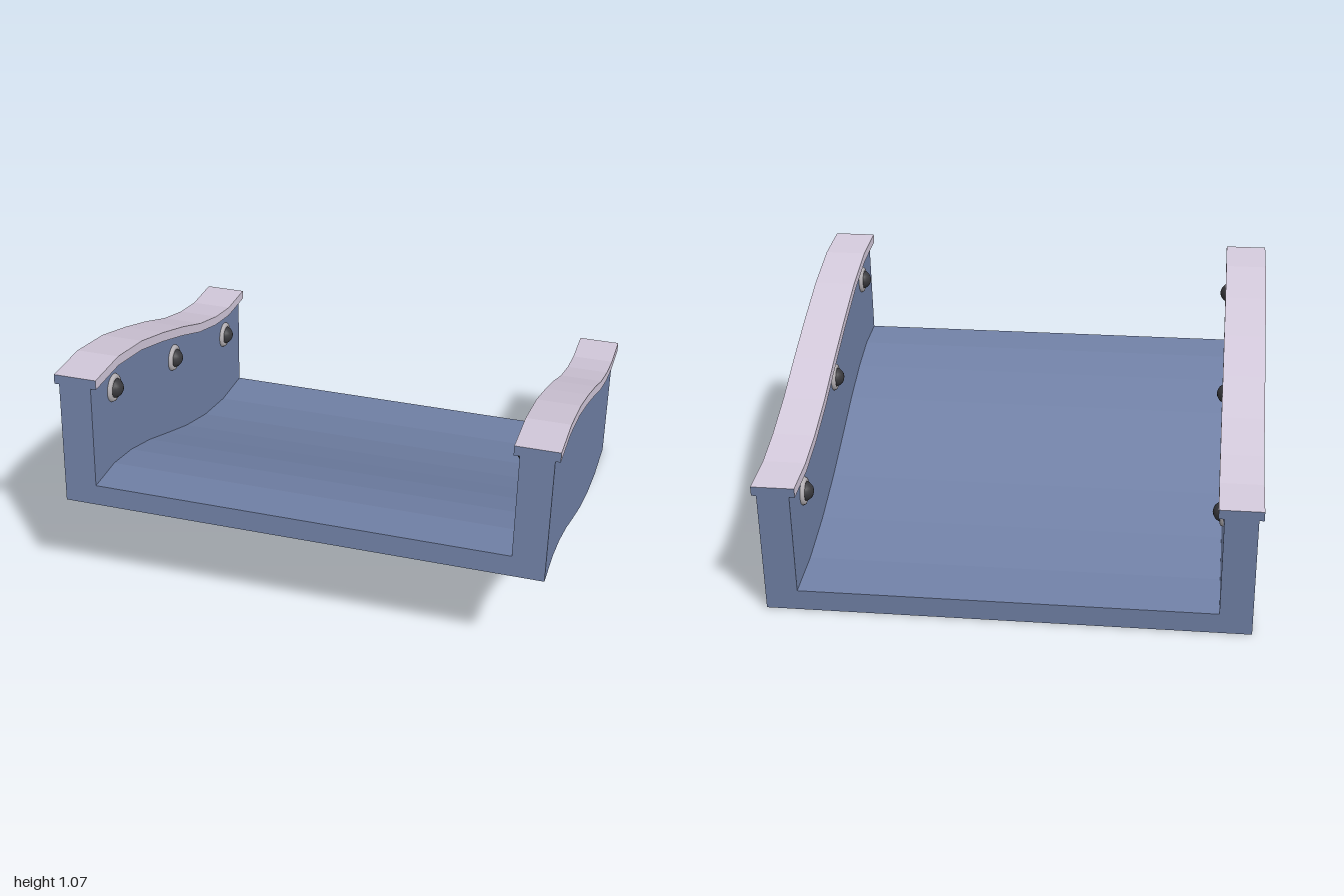
import * as THREE from 'three';

const material = (name, color) => {
  const m = new THREE.MeshStandardMaterial({ color });
  m.name = name;
  return m;
};

// Stations from front to back: [bottom z, bottom y, top z, top y]
const STATIONS = [
  [0.875, 0.513, 0.825, 1.075],
  [0.695, 0.5, 0.6, 1.055],
  [0.53, 0.455, 0.36, 0.99],
  [0.34, 0.38, 0.13, 0.9],
  [0.14, 0.285, -0.09, 0.805],
  [-0.08, 0.185, -0.3, 0.705],
  [-0.32, 0.095, -0.5, 0.63],
  [-0.58, 0.028, -0.67, 0.585],
  [-0.825, 0.002, -0.872, 0.567],
];
const STEPS = STATIONS.length - 1;

// Sweeps a cross-section of [x, height fraction] points along the stations
function sweep(points) {
  const shape = new THREE.Shape(points.map(([x, f]) => new THREE.Vector2(x, f)));
  const geometry = new THREE.ExtrudeGeometry(shape, { depth: 1, steps: STEPS, bevelEnabled: false });
  const pos = geometry.attributes.position;
  for (let i = 0; i < pos.count; i++) {
    const [z0, y0, z1, y1] = STATIONS[STEPS - Math.round(pos.getZ(i) * STEPS)];
    const f = pos.getY(i);
    pos.setXYZ(i, pos.getX(i), y0 + (y1 - y0) * f, z0 + (z1 - z0) * f);
  }
  geometry.computeVertexNormals();
  return geometry;
}

export function createModel() {
  const blue = material('slate blue', 0x7080a5);
  const pale = material('pale mauve', 0xd2c8da);
  const dark = material('dark lens', 0x38383c);
  const grey = material('light grey rim', 0xb4b0b4);

  const model = new THREE.Group();
  model.name = 'curvedRamp';
  const add = (name, geometry, mat, parent = model) => {
    const mesh = new THREE.Mesh(geometry, mat);
    mesh.name = name;
    parent.add(mesh);
    return mesh;
  };

  // U-shaped channel: floor and both side walls
  const floor = 0.157, wallTop = 0.93;
  add('channel', sweep([
    [-0.98, 0], [0.98, 0], [0.98, wallTop], [0.848, wallTop],
    [0.848, floor], [-0.848, floor], [-0.848, wallTop], [-0.98, wallTop],
  ]), blue);

  for (const side of [1, -1]) {
    const label = side > 0 ? 'left' : 'right';

    // Capping rail, with blue end faces
    const a = side > 0 ? 0.825 : -1;
    const b = a + 0.175;
    add(label + 'Rail', sweep([[a, wallTop], [b, wallTop], [b, 1], [a, 1]]), [blue, pale]);

    // Round studs on the inner wall
    [[0.92, 0.625], [0.69, -0.01], [0.448, -0.645]].forEach(([y, z], i) => {
      const stud = new THREE.Group();
      stud.name = label + 'Stud' + (i + 1);
      stud.position.set(side * 0.846, y, z);
      stud.rotation.y = -side * Math.PI / 2;
      add('rim', new THREE.TorusGeometry(0.045, 0.014, 8, 20), grey, stud);
      add('dome', new THREE.SphereGeometry(0.042, 16, 10), dark, stud);
      model.add(stud);
    });
  }
  return model;
}
